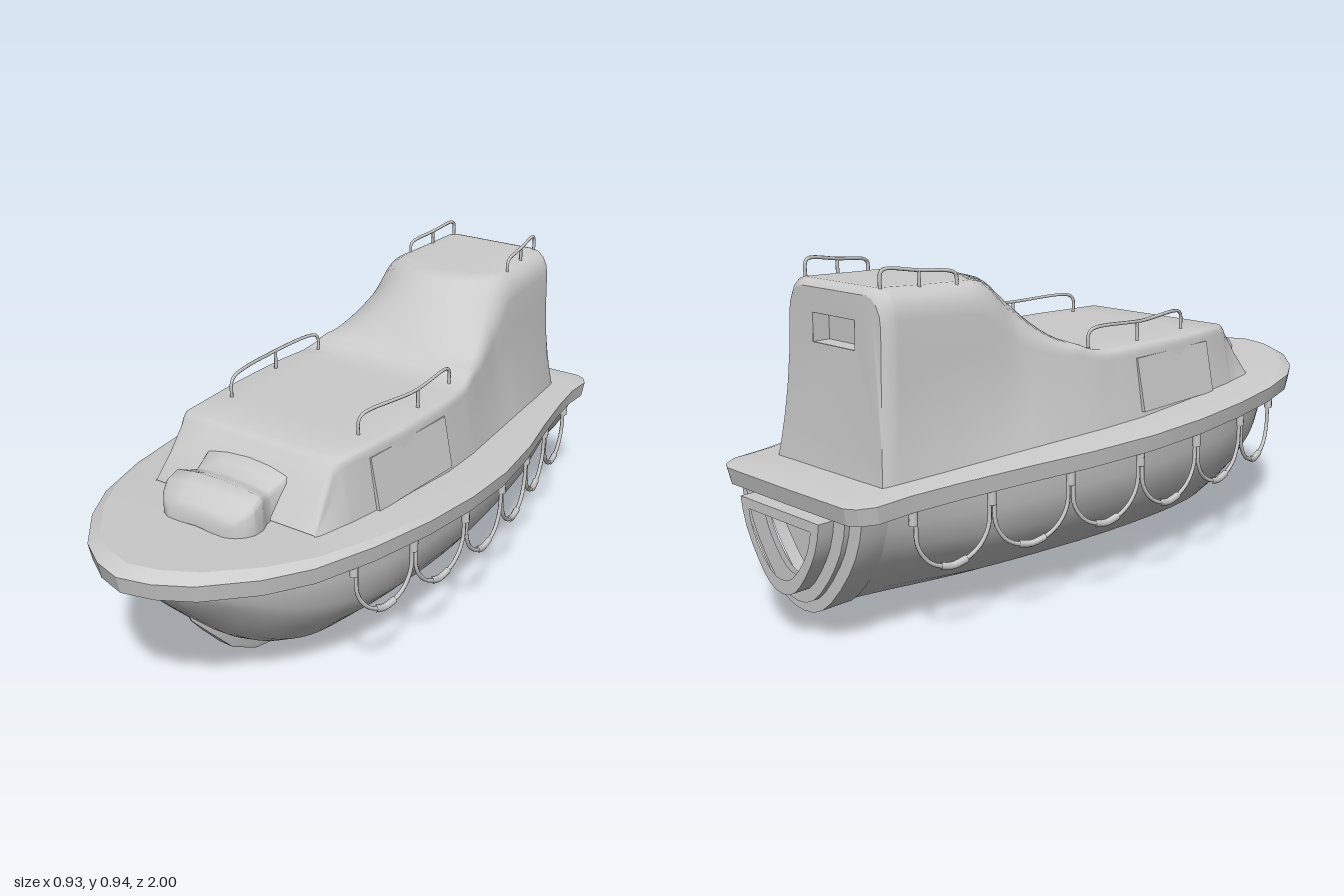
import * as THREE from 'three';
import { toCreasedNormals } from 'three/addons/utils/BufferGeometryUtils.js';

const grey = new THREE.MeshStandardMaterial({ color: 0xcccccc });
const shell = new THREE.MeshStandardMaterial({ color: 0xcccccc, side: THREE.DoubleSide });
const V = (x, y, z) => new THREE.Vector3(x, y, z);
const { clamp, smoothstep, lerp } = THREE.MathUtils;

// Linear lookup in rows [z, a, b, ...] ordered by falling z
function lookup(table, z) {
  let i = 0;
  while (i < table.length - 2 && z < table[i + 1][0]) i++;
  const p = table[i], q = table[i + 1];
  const t = clamp((z - p[0]) / (q[0] - p[0]), 0, 1);
  return p.slice(1).map((v, k) => lerp(v, q[k + 1], t));
}

// Skin joining equally long rows of points
function loft(rows, crease = 0.6) {
  const n = rows[0].length, index = [];
  for (let i = 0; i < rows.length - 1; i++)
    for (let j = 0; j < n - 1; j++) {
      const a = i * n + j, b = a + 1, c = a + n, d = c + 1;
      index.push(a, c, b, b, c, d);
    }
  const g = new THREE.BufferGeometry().setFromPoints(rows.flat());
  g.setIndex(index);
  return toCreasedNormals(g, crease);
}

// Completes a half section (ending at x = 0) with its mirror image
const mirrored = half => [...half, ...half.slice(0, -1).reverse().map(p => V(-p.x, p.y, p.z))];

const deckY = z => 0.46 + 0.05 * z;
// Deck half widths from bow to stern: [z, half width]
const deckLine = [[1, 0], [0.975, 0.09], [0.92, 0.18], [0.8, 0.288], [0.68, 0.358], [0.5, 0.415], [0.3, 0.452],
  [0.1, 0.465], [-0.1, 0.456], [-0.32, 0.418], [-0.5, 0.372], [-0.7, 0.327], [-0.83, 0.304], [-0.93, 0.3],
  [-0.97, 0.275], [-0.985, 0.245], [-0.987, 0]];

export function createModel() {
  const root = new THREE.Group();
  const add = (name, geo, mat = grey) => {
    const m = new THREE.Mesh(geo, mat);
    m.name = name;
    root.add(m);
    return m;
  };
  const tube = (name, pts, r, seg = 28) =>
    add(name, new THREE.TubeGeometry(new THREE.CatmullRomCurve3(pts), seg, r, 6));

  // Hull: [z, half width, bottom], smoothed along its length; round amidships, V-shaped at the stern
  const hull = [[-0.88, 0.25, 0.078], [-0.6, 0.31, 0.066], [-0.3, 0.365, 0.055], [0, 0.4, 0.048], [0.3, 0.39, 0.046],
    [0.45, 0.357, 0.054], [0.55, 0.323, 0.085], [0.65, 0.278, 0.145], [0.75, 0.22, 0.24], [0.85, 0.135, 0.345],
    [0.925, 0.004, 0.445]];
  const hullCurve = new THREE.CatmullRomCurve3(hull.map(([z, w, b]) => V(w, b, z)));
  const round = [[1, 1], [0.985, 0.8], [0.92, 0.56], [0.83, 0.43], [0.72, 0.31], [0.51, 0.12], [0.36, 0.05],
    [0.2, 0.012], [0, 0]];
  const vee = [[1, 1], [0.96, 0.83], [0.88, 0.65], [0.77, 0.49], [0.63, 0.33], [0.46, 0.17], [0.32, 0.075],
    [0.17, 0.018], [0, 0]];
  const hullRows = hullCurve.getPoints(50).reverse().map(p => {
    const top = Math.max(deckY(p.z) - 0.05, p.y), k = 1 - smoothstep(p.z, -0.9, -0.45);
    return mirrored(round.map(([x, y], i) =>
      V(-lerp(x, vee[i][0], k) * p.x, lerp(p.y, top, lerp(y, vee[i][1], k)), p.z)));
  });
  add('hull', loft(hullRows, 0.9), shell);

  // Keel shoe, tapering up the stem
  const keel = [[0.755, 0.002, 0.235], [0.7, 0.017, 0.172], [0.62, 0.027, 0.085], [0.53, 0.032, 0.033], [0.4, 0.035, 0.005],
    [0.05, 0.035, 0.002]];
  const keelRows = keel.map(([z, w, b]) => mirrored([V(-w, b + 0.075, z), V(-w, b + 0.01, z), V(-w * 0.85, b, z), V(0, b, z)]));
  keelRows.push(keelRows.at(-1).map(p => V(p.x, 0.075, p.z)));
  add('keel', loft(keelRows), shell);

  // Deck slab, its rim drooping at the bow
  const half = deckLine.map(([z, x]) => V(x, 0, z));
  const outline = [...half, ...half.slice(0, -1).reverse().map(p => V(-p.x, 0, p.z))];
  const ring = (sx, sz, drop, droop) => outline.map(p =>
    V(p.x * sx, deckY(p.z * sz) - drop - droop * smoothstep(p.z, 0.2, 1), p.z * sz));
  add('deck', loft([ring(0, 0.9, 0, 0), ring(0.955, 0.96, 0, 0), ring(1, 1, 0.004, 0.018), ring(0.985, 0.99, 0.05, 0.02),
    ring(0.86, 0.9, 0.048, 0.01), ring(0, 0.85, 0.048, 0.01)], 0.4), shell);

  // Stern frames stepping back to a deep hollow ring
  const veePoints = (w, b, t) => {
    const h = vee.map(([x, y]) => new THREE.Vector2(x * w, lerp(b, t, y)));
    return [...h, ...h.slice(0, -1).reverse().map(p => new THREE.Vector2(-p.x, p.y))];
  };
  const frame = (name, w, b, t, z0, z1, hole = true) => {
    const s = new THREE.Shape(veePoints(w, b, t));
    if (hole) s.holes.push(new THREE.Path(veePoints(0.13, 0.17, 0.325)));
    const g = new THREE.ExtrudeGeometry(s, { depth: z1 - z0, bevelEnabled: false });
    g.translate(0, 0, z0);
    add(name, toCreasedNormals(g, 0.5));
  };
  frame('transom', 0.24, 0.09, 0.36, -0.85, -0.84, false);
  frame('sternFrame', 0.255, 0.07, 0.368, -0.94, -0.85);
  frame('sternStep', 0.21, 0.1, 0.362, -0.955, -0.93);
  frame('sternRing', 0.165, 0.132, 0.352, -1, -0.95);

  // Cabin and tower: [z, base half width, top half width]
  const plan = [[0.57, 0.285, 0.275], [0.47, 0.297, 0.262], [0.44, 0.302, 0.275], [0.2, 0.322, 0.296], [0, 0.33, 0.3],
    [-0.15, 0.318, 0.288], [-0.3, 0.297, 0.256], [-0.4, 0.284, 0.232], [-0.5, 0.27, 0.222], [-0.65, 0.248, 0.212],
    [-0.785, 0.224, 0.203], [-0.81, 0.218, 0.186]];
  const roof = [[0.57, 0.492], [0.47, 0.64], [0.455, 0.654], [0.44, 0.66], [-0.11, 0.662], [-0.16, 0.67], [-0.21, 0.695],
    [-0.36, 0.855], [-0.39, 0.876], [-0.43, 0.884], [-0.785, 0.893], [-0.8, 0.889], [-0.81, 0.875]];
  const backZ = (y, z) => z - 0.165 * Math.max(0.88 - y, 0) ** 2 * clamp((-0.6 - z) / 0.2, 0, 1);
  const zs = [0.57, 0.52, 0.47, 0.455, 0.44, 0.32, 0.2, 0.1, 0, -0.07];
  for (let z = -0.11; z > -0.78; z -= 0.02) zs.push(z);
  zs.push(-0.785, -0.8, -0.81);
  const cabinRows = zs.map(z => {
    const [wb, wt] = lookup(plan, z), yb = deckY(z) - 0.012;
    // The head of the ramp curves back towards the sides
    const bend = 2.4 * clamp((-0.2 - z) / 0.2, 0, 1) * clamp((z + 0.75) / 0.1, 0, 1);
    const top = x => lookup(roof, z + bend * x * x)[0];
    const h = top(wt), tower = smoothstep(h, 0.66, 0.88), r = Math.min(lerp(0.028, 0.075, tower), (h - yb) * 0.4);
    const c = r * 0.75;
    const pts = [[wb, yb]];
    for (const t of [0.15, 0.3, 0.5, 0.75]) pts.push([lerp(wb, wt, 1 - (1 - t) ** (1.1 + 0.9 * tower)), lerp(yb, h - r, t)]);
    pts.push([wt, h - r]);
    for (const a of [0.4, 0.8, 1.2]) pts.push([wt - c * (1 - Math.cos(a)), top(wt - c * (1 - Math.cos(a))) - r * (1 - Math.sin(a))]);
    for (const x of [wt - c, wt * 0.6, wt * 0.4, wt * 0.2, 0]) pts.push([x, top(x)]);
    return mirrored(pts.map(([x, y]) => V(x, y, backZ(y, z))));
  });
  add('cabin', loft(cabinRows, 0.8), shell);

  // Tower back wall with a recessed window
  const wall = new THREE.Shape(cabinRows.at(-1).map(p => new THREE.Vector2(p.x, p.y)));
  const rect = [[-0.085, 0.735], [0.085, 0.735], [0.085, 0.81], [-0.085, 0.81]];
  wall.holes.push(new THREE.Path(rect.map(p => new THREE.Vector2(...p))));
  const wallGeo = new THREE.ShapeGeometry(wall).rotateY(Math.PI);
  const wp = wallGeo.attributes.position;
  for (let i = 0; i < wp.count; i++) wp.setZ(i, backZ(wp.getY(i), -0.81));
  wallGeo.computeVertexNormals();
  add('towerBack', wallGeo, shell);
  const recess = new THREE.BoxGeometry(0.17, 0.075, 0.05).translate(0, 0.7725, -0.787);
  recess.setIndex([...recess.index.array].slice(0, 30));
  add('backWindow', recess, shell);

  // Hatch hood on the fore deck: [z, half width, top]
  const hood = [[0.714, 0.095, 0.5], [0.712, 0.1, 0.54], [0.7, 0.122, 0.553], [0.68, 0.14, 0.567], [0.655, 0.15, 0.585],
    [0.62, 0.148, 0.598], [0.59, 0.134, 0.587], [0.565, 0.128, 0.582], [0.53, 0.135, 0.597], [0.5, 0.143, 0.607],
    [0.46, 0.143, 0.607]];
  add('hatchHood', loft(hood.map(([z, w, t]) => {
    const b = deckY(z) - 0.01;
    return mirrored([V(w, b, z), V(w, Math.max(b, t - 0.025), z), V(w - 0.008, t - 0.014, z), V(w * 0.5, t - 0.004, z), V(0, t, z)]);
  }), 0.8), shell);

  for (const s of [1, -1]) {
    const side = s > 0 ? 'left' : 'right';

    // Side door panel leaning with the cabin wall
    const door = new THREE.BoxGeometry(0.06, 0.15, 0.34);
    const dp = door.attributes.position;
    for (let i = 0; i < dp.count; i++) dp.setX(i, dp.getX(i) - s * (dp.getY(i) * 0.2 + dp.getZ(i) * 0.05));
    door.translate(s * 0.282, 0.55, 0.17);
    door.computeVertexNormals();
    add(side + 'Door', door);

    // Roof rails with three posts each
    tube(side + 'CabinRail', [V(s * 0.22, 0.65, 0.3), V(s * 0.22, 0.7, 0.3), V(s * 0.223, 0.715, 0.285),
      V(s * 0.252, 0.716, 0.08), V(s * 0.239, 0.716, -0.115), V(s * 0.237, 0.702, -0.13), V(s * 0.237, 0.65, -0.13)], 0.005, 48);
    tube(side + 'CabinRailPost', [V(s * 0.252, 0.65, 0.06), V(s * 0.252, 0.716, 0.06)], 0.005, 1);
    tube(side + 'TowerRail', [V(s * 0.178, 0.86, -0.56), V(s * 0.178, 0.905, -0.56), V(s * 0.176, 0.914, -0.57),
      V(s * 0.164, 0.926, -0.67), V(s * 0.152, 0.937, -0.77), V(s * 0.151, 0.928, -0.78), V(s * 0.151, 0.87, -0.78)], 0.005, 40);
    tube(side + 'TowerRailPost', [V(s * 0.164, 0.87, -0.67), V(s * 0.164, 0.926, -0.67)], 0.005, 1);

    // Grab lines hanging below the rim, with straps and floats
    const hooks = [0.545, 0.335, 0.1, -0.13, -0.36, -0.59, -0.81];
    const at = (z, drop) => V(s * (lookup(deckLine, z)[0] - 0.022), deckY(z) - drop, z);
    hooks.forEach((z, i) => {
      const strap = add(side + 'Strap', new THREE.CylinderGeometry(0.012, 0.012, 0.045, 8));
      strap.position.copy(at(z, 0.065));
      if (i === hooks.length - 1) return;
      const e = hooks[i + 1], m = t => lerp(z, e, t);
      tube(side + 'GrabLine', [at(m(0.03), 0.075), at(m(0.05), 0.145), at(m(0.2), 0.195), at(m(0.5), 0.22),
        at(m(0.8), 0.195), at(m(0.95), 0.145), at(m(0.97), 0.075)], 0.006);
      tube(side + 'GrabLineFloat', [at(m(0.33), 0.212), at(m(0.5), 0.22), at(m(0.67), 0.212)], 0.01, 6);
    });
  }
  return root;
}
